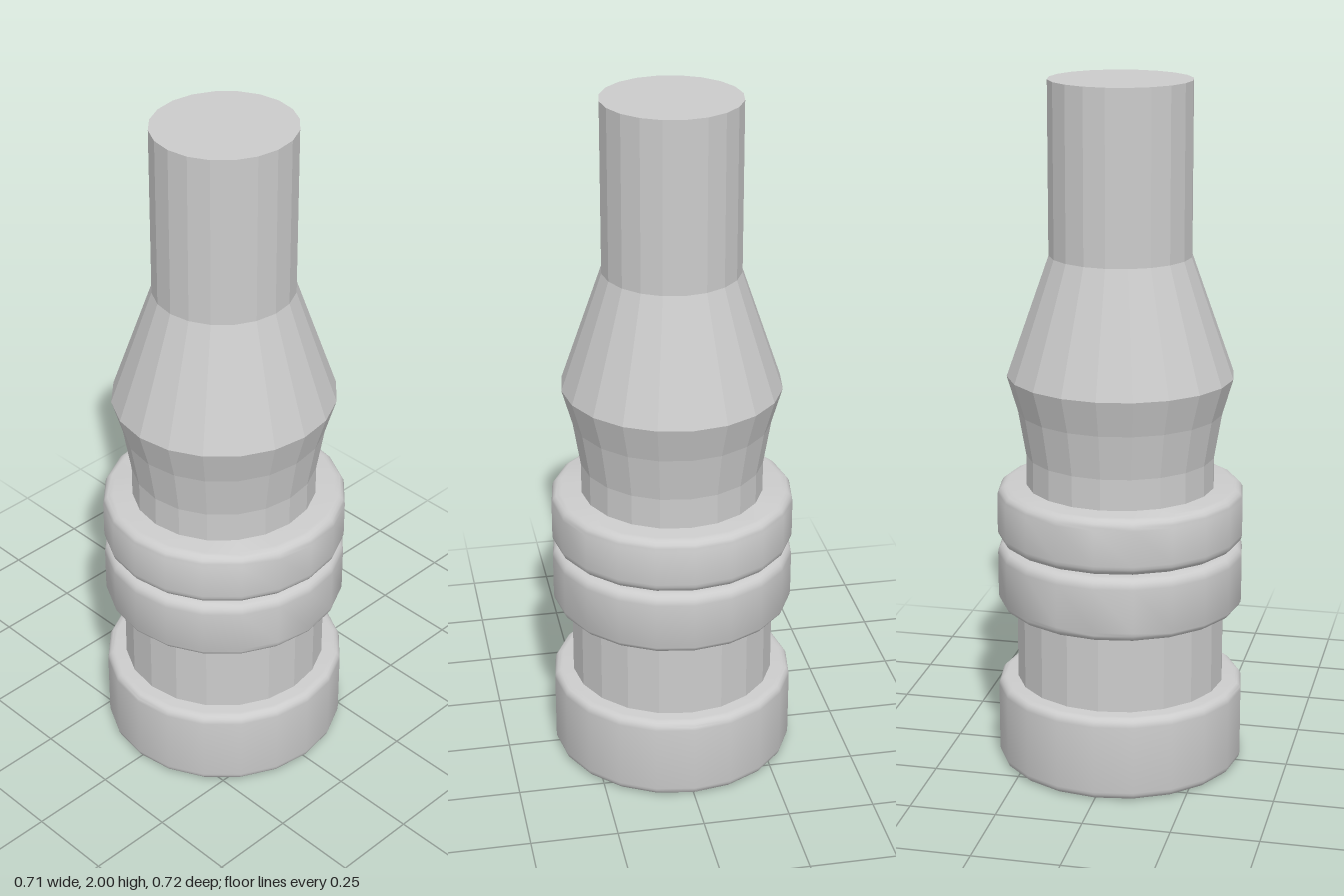
import * as THREE from 'three';
import { toCreasedNormals } from 'three/addons/utils/BufferGeometryUtils.js';

const SIDES = 20;

export function createModel() {
  const model = new THREE.Group();
  const smooth = new THREE.MeshStandardMaterial({ color: 0xcccccc });
  const flat = new THREE.MeshStandardMaterial({ color: 0xcccccc, flatShading: true });

  // Turned part from a bottom-to-top [radius, height] profile, slightly narrower in x
  function turned(name, profile, material, squash) {
    const points = profile.map(([r, y]) => new THREE.Vector2(r, y));
    let geometry = new THREE.LatheGeometry(points, SIDES);
    geometry.scale(squash, 1, 1);
    if (material === smooth) geometry = toCreasedNormals(geometry, 0.6);
    const mesh = new THREE.Mesh(geometry, material);
    mesh.name = name;
    model.add(mesh);
  }

  // Disc with rounded rims
  function collar(name, radius, y0, y1, bevel) {
    const profile = [[0, y0]];
    const steps = 5;
    for (const [centre, start] of [[y0 + bevel, -Math.PI / 2], [y1 - bevel, 0]]) {
      for (let i = 0; i <= steps; i++) {
        const a = start + (i / steps) * Math.PI / 2;
        profile.push([radius - bevel + bevel * Math.cos(a), centre + bevel * Math.sin(a)]);
      }
    }
    profile.push([0, y1]);
    turned(name, profile, smooth, 0.985);
  }

  // Three rounded collars
  collar('baseCollar', 0.36, 0, 0.25, 0.025);
  collar('middleCollar', 0.357, 0.48, 0.668, 0.03);
  collar('upperCollar', 0.357, 0.676, 0.84, 0.03);

  // Core running between the collars
  turned('core', [[0, 0.2], [0.303, 0.2], [0.303, 0.72], [0, 0.72]], flat, 0.982);

  // Flared body tapering into the straight stem
  turned('body', [
    [0, 0.78], [0.272, 0.78], [0.272, 0.93], [0.294, 1.06], [0.325, 1.165],
    [0.203, 1.51], [0.203, 2], [0, 2],
  ], flat, 0.97);

  return model;
}
